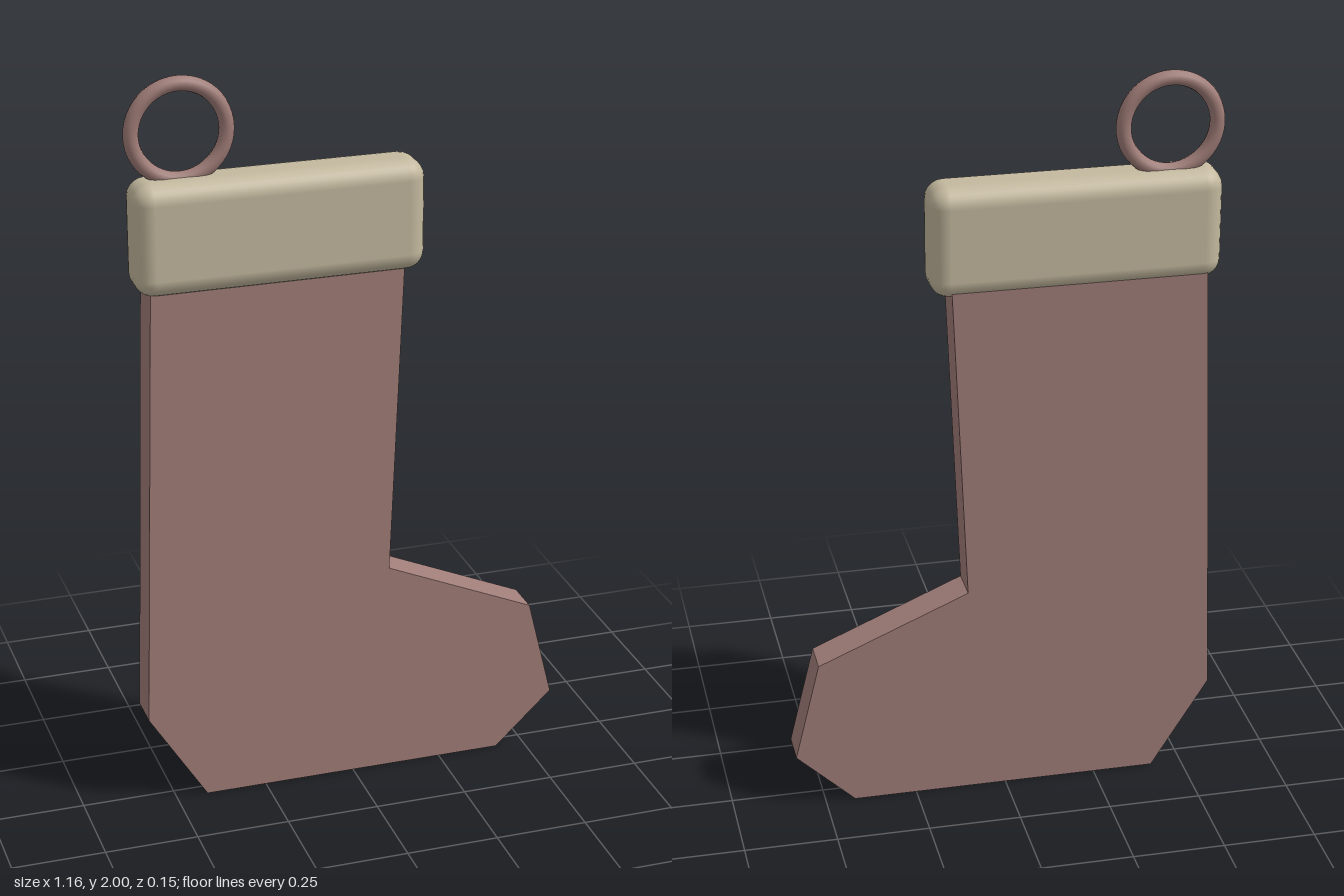
import * as THREE from 'three';
import { RoundedBoxGeometry } from 'three/addons/geometries/RoundedBoxGeometry.js';

function material(name, color) {
  const m = new THREE.MeshStandardMaterial({ color });
  m.name = name;
  return m;
}

export function createModel() {
  const group = new THREE.Group();
  group.name = 'stocking';
  const rose = material('dusty rose', 0xa07d78);
  const cream = material('cream', 0xc4b99f);

  const add = (name, geometry, mat, x, y, z) => {
    const mesh = new THREE.Mesh(geometry, mat);
    mesh.name = name;
    mesh.position.set(x, y, z);
    group.add(mesh);
  };

  // Flat sock silhouette with a straight-edged heel and toe
  const outline = [
    [-0.415, 0], [0.42, 0], [0.578, 0.15], [0.51, 0.425], [0.102, 0.6],
    [0.145, 1.6], [-0.53, 1.6], [-0.572, 0.25],
  ].map(([x, y]) => new THREE.Vector2(x, y));
  const sock = new THREE.ExtrudeGeometry(new THREE.Shape(outline), { depth: 0.102, bevelEnabled: false });
  add('sock', sock, rose, 0, 0, -0.062);

  // Soft rounded cuff around the opening
  add('cuff', new RoundedBoxGeometry(0.765, 0.296, 0.146, 3, 0.05), cream, -0.19, 1.594, -0.002);

  // Hanging loop sunk into the cuff
  add('hangingLoop', new THREE.TorusGeometry(0.123, 0.02, 12, 48), rose, -0.438, 1.857, -0.011);

  return group;
}
